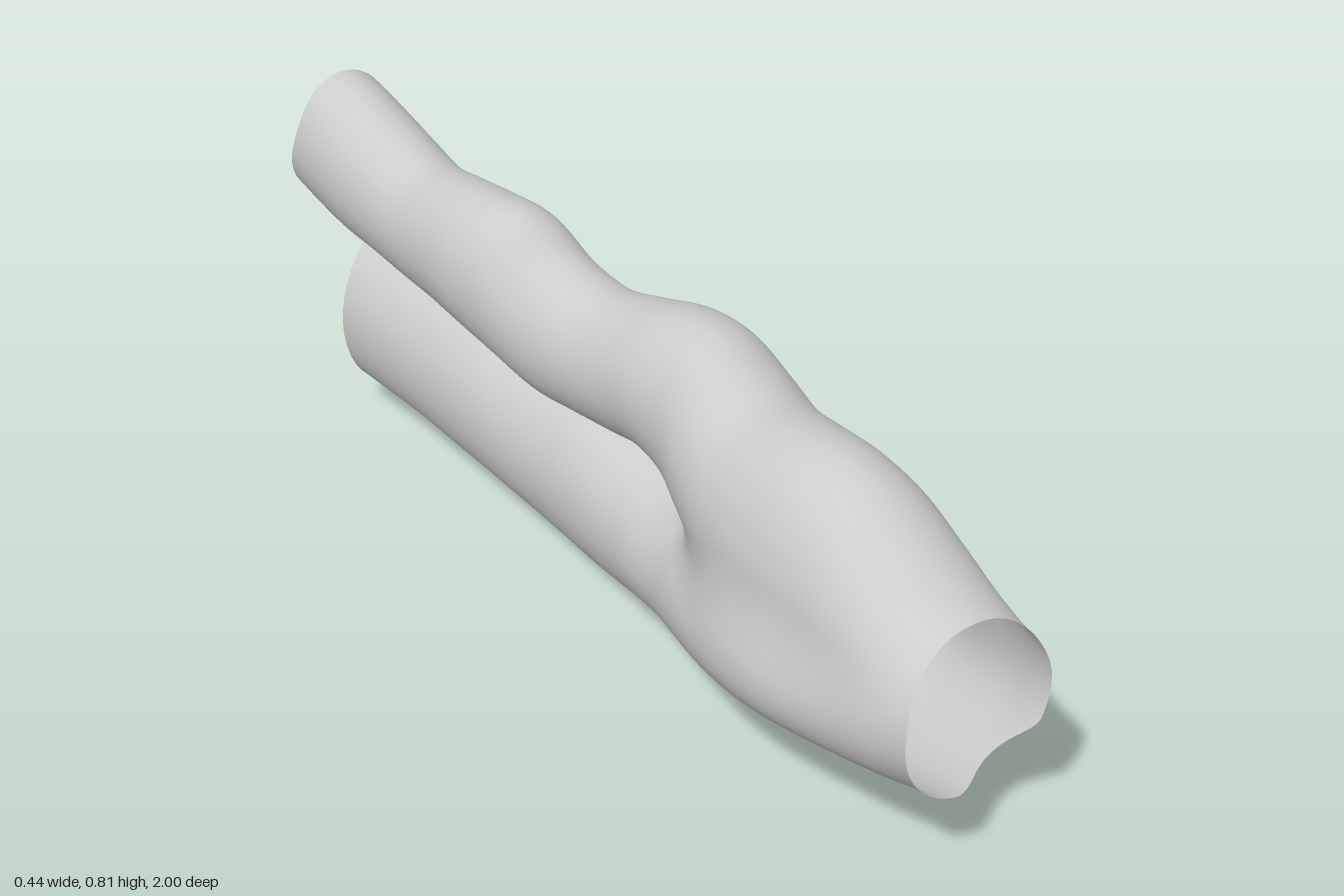
import * as THREE from 'three';

// Section limits of the two tubes, every 0.1 from z = 1 back to z = -1.
// In the trunk they overlap and blend; behind it they part into branches.
const upper = {
  top: [.51, .545, .60, .65, .672, .668, .66, .685, .705, .70, .675, .66, .692, .75, .75, .74, .73, .755, .785, .808, .818],
  bottom: [.2, .2, .2, .2, .2, .22, .27, .32, .368, .397, .39, .39, .395, .43, .455, .465, .47, .48, .49, .508, .53],
  left: [-.172, -.18, -.18, -.18, -.182, -.178, -.165, -.142, -.115, -.11, -.11, -.12, -.14, -.165, -.175, -.17, -.167, -.172, -.18, -.182, -.182],
  right: [.14, .145, .15, .155, .155, .155, .155, .16, .165, .16, .14, .11, .085, .07, .06, .05, .045, .045, .045, .045, .045],
};
const lower = {
  top: [.5, .47, .44, .42, .415, .41, .395, .37, .334, .315, .325, .34, .355, .355, .36, .38, .395, .4, .405, .412, .42],
  bottom: [.19, .172, .155, .14, .125, .11, .095, .08, .06, .038, .01, .001, .004, .014, .025, .033, .04, .05, .055, .058, .06],
  left: [-.175, -.192, -.202, -.212, -.217, -.208, -.186, -.155, -.12, -.095, -.075, -.068, -.065, -.066, -.07, -.075, -.08, -.085, -.09, -.095, -.1],
  right: [.14, .155, .165, .178, .184, .18, .178, .188, .205, .213, .217, .215, .21, .2, .19, .188, .185, .18, .168, .157, .15],
};

const { clamp, lerp, smoothstep } = THREE.MathUtils;

// Smooth (Catmull-Rom) value of a table at z
function sample(table, z) {
  const t = clamp((1 - z) * 10, 0, 19.9999), i = Math.floor(t), f = t - i;
  const b = table[i], c = table[i + 1];
  const a = table[Math.max(i - 1, 0)], d = table[Math.min(i + 2, 20)];
  return b + 0.5 * f * (c - a + f * (2 * a - 5 * b + 4 * c - d + f * (3 * (b - c) + d - a)));
}

// Approximate distance to one tube's elliptical section
function tubeDistance(tube, x, y, z) {
  const top = sample(tube.top, z), bottom = sample(tube.bottom, z);
  const left = sample(tube.left, z), right = sample(tube.right, z);
  const rx = (right - left) / 2, ry = (top - bottom) / 2;
  const px = (x - (left + right) / 2) / rx, py = (y - (top + bottom) / 2) / ry;
  const f = Math.hypot(px, py) + 1e-6;
  return f * (f - 1) / (Math.hypot(px / rx, py / ry) + 1e-6);
}

// Smooth union of both tubes, softest around the fork
function wall(x, y, z) {
  const a = tubeDistance(upper, x, y, z), b = tubeDistance(lower, x, y, z);
  const k = 0.04 + 0.05 * smoothstep(z, 0, 0.2) - 0.07 * smoothstep(z, 0.6, 1) - 0.02 * smoothstep(-z, 0.1, 0.5);
  const h = Math.max(k - Math.abs(a - b), 0) / k;
  return Math.min(a, b) - h * h * k / 4;
}

function gradient(x, y, z, e = 0.002) {
  return new THREE.Vector3(
    wall(x + e, y, z) - wall(x - e, y, z),
    wall(x, y + e, z) - wall(x, y - e, z),
    wall(x, y, z + e) - wall(x, y, z - e)).divideScalar(2 * e);
}

// Uneven open ends
const frontEnd = (x, y) => 1 - 0.03 * smoothstep(y, 0.36, 0.52)
  - 0.05 * smoothstep(x, -0.06, 0.06) * (1 - smoothstep(y, 0.2, 0.28));
const backEnd = (x, y) => y > 0.46
  ? -0.91 - 0.09 * smoothstep(0.74 - y, 0, 0.21) * lerp(0.6, 1, smoothstep(x, -0.16, 0))
  : -0.915 - 0.03 * ((y - 0.24) / 0.18) ** 4;

// Grid that spans the shape; its z layers bend to meet the uneven ends
const NX = 46, NY = 76, NZ = 120;
function gridPoint(i, j, k) {
  const x = lerp(-0.27, 0.27, i / NX), y = lerp(-0.03, 0.86, j / NY);
  return [x, y, lerp(backEnd(x, y), frontEnd(x, y), (k - 0.5) / (NZ - 1))];
}

export function createModel() {
  const id = (i, j, k) => (k * (NY + 1) + j) * (NX + 1) + i;
  const field = new Float32Array((NX + 1) * (NY + 1) * (NZ + 1));
  for (let k = 0; k <= NZ; k++)
    for (let j = 0; j <= NY; j++)
      for (let i = 0; i <= NX; i++) field[id(i, j, k)] = wall(...gridPoint(i, j, k));

  // One vertex in each cell the wall passes through, pulled onto the wall
  const positions = [], normals = [], cellVertex = new Map();
  const axes = [[1, 0, 0], [0, 1, 0], [0, 0, 1]];
  for (let k = 0; k < NZ; k++)
    for (let j = 0; j < NY; j++)
      for (let i = 0; i < NX; i++) {
        let n = 0;
        const sum = [0, 0, 0];
        for (let c = 0; c < 8; c++) {
          const o = [c & 1, (c >> 1) & 1, c >> 2];
          const a = field[id(i + o[0], j + o[1], k + o[2])];
          axes.forEach((d, axis) => {
            if (o[axis]) return;
            const b = field[id(i + o[0] + d[0], j + o[1] + d[1], k + o[2] + d[2])];
            if ((a < 0) === (b < 0)) return;
            n++;
            for (let m = 0; m < 3; m++) sum[m] += o[m] + d[m] * a / (a - b);
          });
        }
        if (!n) continue;
        const rim = k === 0 || k === NZ - 1;
        const p = new THREE.Vector3(...gridPoint(i + sum[0] / n, j + sum[1] / n, k + (rim ? 0.5 : sum[2] / n)));
        for (let step = 0; step < 3; step++) {
          const g = gradient(p.x, p.y, p.z);
          if (rim) g.z = 0;
          p.addScaledVector(g, -clamp(wall(p.x, p.y, p.z) / Math.max(g.lengthSq(), 0.1), -0.01, 0.01));
        }
        cellVertex.set(id(i, j, k), positions.length / 3);
        positions.push(p.x, p.y, p.z);
        normals.push(...gradient(p.x, p.y, p.z).normalize().toArray());
      }

  // Quads around every grid edge that crosses the wall, sorted into parts
  const parts = { trunk: [], upperBranch: [], lowerBranch: [] };
  for (let k = 0; k < NZ; k++)
    for (let j = 1; j < NY; j++)
      for (let i = 1; i < NX; i++)
        axes.forEach((d, axis) => {
          const a = field[id(i, j, k)], b = field[id(i + d[0], j + d[1], k + d[2])];
          if ((a < 0) === (b < 0)) return;
          const u = axes[(axis + 1) % 3], v = axes[(axis + 2) % 3];
          const quad = [[0, 0], [1, 0], [1, 1], [0, 1]].map(([s, t]) => cellVertex.get(
            id(i - s * u[0] - t * v[0], j - s * u[1] - t * v[1], k - s * u[2] - t * v[2])));
          if (quad.includes(undefined)) return;
          if (a >= 0) quad.reverse();
          const [x, y, z] = gridPoint(i, j, k);
          const part = z > 0.2 ? 'trunk'
            : tubeDistance(upper, x, y, z) < tubeDistance(lower, x, y, z) ? 'upperBranch' : 'lowerBranch';
          parts[part].push(quad[0], quad[1], quad[2], quad[0], quad[2], quad[3]);
        });

  // Thin wall, seen from inside and outside
  const material = new THREE.MeshStandardMaterial({ color: 0xcccccc, side: THREE.DoubleSide });
  const group = new THREE.Group();
  group.name = 'forkedTube';
  const position = new THREE.Float32BufferAttribute(positions, 3);
  const normal = new THREE.Float32BufferAttribute(normals, 3);
  for (const [name, index] of Object.entries(parts)) {
    const geometry = new THREE.BufferGeometry();
    geometry.setAttribute('position', position);
    geometry.setAttribute('normal', normal);
    geometry.setIndex(index);
    const mesh = new THREE.Mesh(geometry, material);
    mesh.name = name;
    group.add(mesh);
  }
  return group;
}
